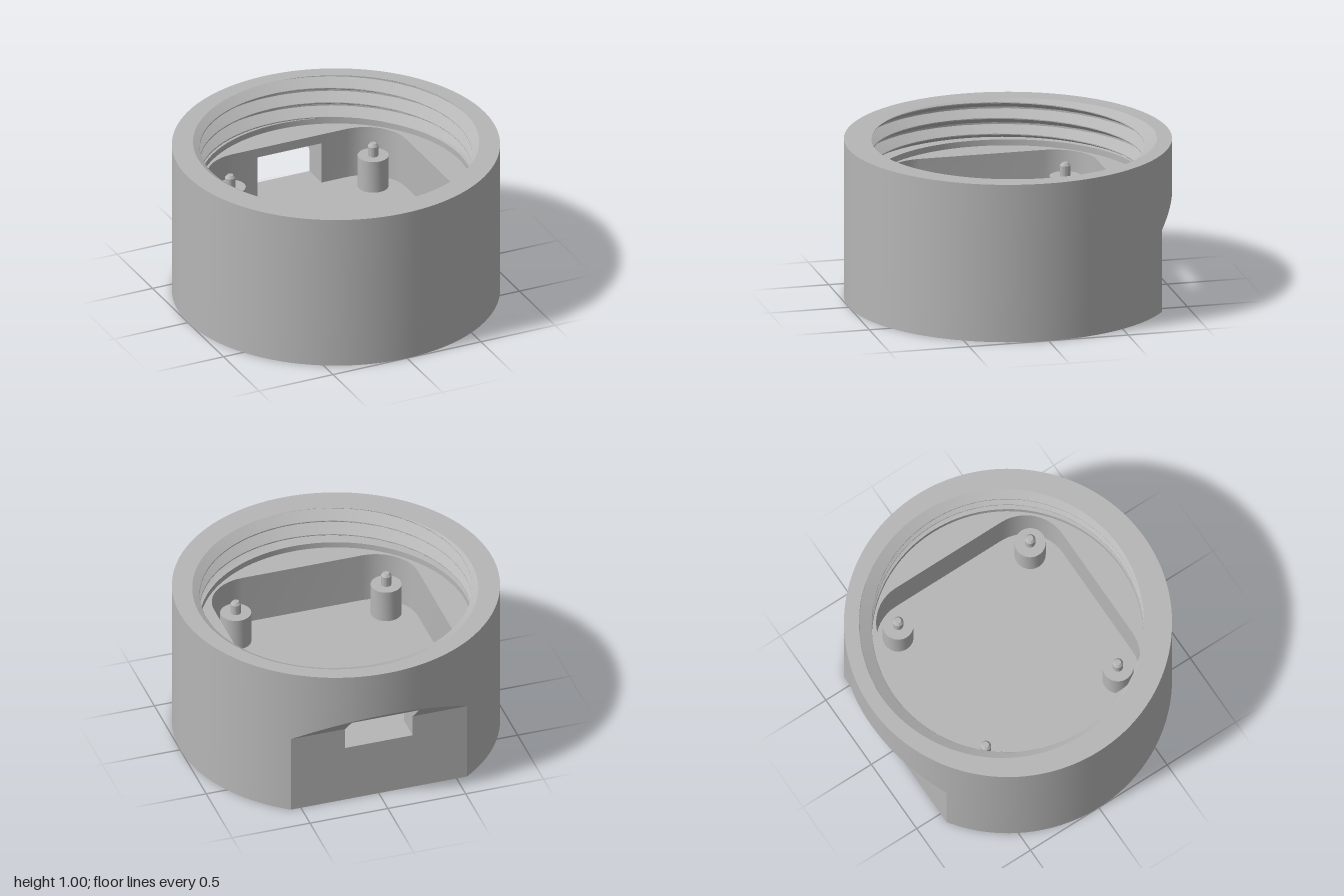
import * as THREE from 'three';
import { toCreasedNormals } from 'three/addons/utils/BufferGeometryUtils.js';

const FLAT_Z = -0.825;   // flat cut at the back
const FLAT_TOP = 0.52;   // where the flat turns into a 45 degree slope
const FLOOR = 0.38, LEDGE = 0.71, CEILING = 0.65;
const WINDOW = 0.217;    // half width of the cable window
const POCKET = 0.655, CORNER = 0.27;
const POST = 0.483;
const PITCH = 0.1, CREST = 0.83, ROOT = 0.908;

const grey = new THREE.MeshStandardMaterial({ color: 0xb6b6b6, side: THREE.DoubleSide });
grey.name = 'grey plastic';

function part(name, geometry) {
  const mesh = new THREE.Mesh(geometry, grey);
  mesh.name = name;
  return mesh;
}

// closed loft through rows of points; skip(row, a, b) leaves holes
function loft(rows, skip = () => false) {
  const pos = [];
  const n = rows[0].length;
  for (let j = 0; j < rows.length - 1; j++) {
    for (let i = 0; i < n; i++) {
      const k = (i + 1) % n;
      const a = rows[j][i], b = rows[j][k], c = rows[j + 1][k], d = rows[j + 1][i];
      if (skip(j, a, b)) continue;
      for (const tri of [[a, b, c], [a, c, d]]) {
        const [p, q, r] = tri;
        if (p.distanceTo(q) < 1e-6 || q.distanceTo(r) < 1e-6 || r.distanceTo(p) < 1e-6) continue;
        for (const v of tri) pos.push(v.x, v.y, v.z);
      }
    }
  }
  const g = new THREE.BufferGeometry();
  g.setAttribute('position', new THREE.Float32BufferAttribute(pos, 3));
  return toCreasedNormals(g, 0.45);
}

// flat face from an (x, z) outline at height y
function plate(points, y, hole) {
  const shape = new THREE.Shape(points);
  if (hole) shape.holes.push(new THREE.Path(hole));
  return new THREE.ShapeGeometry(shape).rotateX(Math.PI / 2).translate(0, y, 0);
}

function circle(r, n = 96) {
  return Array.from({ length: n }, (_, i) => {
    const a = (i / n) * Math.PI * 2;
    return new THREE.Vector2(r * Math.sin(a), r * Math.cos(a));
  });
}

// rounded square, with extra points at the window edges on the back side
function pocketOutline() {
  const pts = [], c = POCKET - CORNER;
  [[1, 1], [-1, 1], [-1, -1], [1, -1]].forEach(([sx, sz], q) => {
    for (let i = 0; i <= 12; i++) {
      const a = (q + i / 12) * Math.PI / 2;
      pts.push(new THREE.Vector2(sx * c + CORNER * Math.cos(a), sz * c + CORNER * Math.sin(a)));
    }
    if (q === 2) pts.push(new THREE.Vector2(-WINDOW, -POCKET), new THREE.Vector2(WINDOW, -POCKET));
  });
  return pts;
}

// radius of the internal screw thread
function threadRadius(angle, y) {
  if (y < 0.748) return CREST;
  const t = (angle / (Math.PI * 2) + (1 - y) / PITCH + 0.05) % 1;
  if (t < 0.425) return THREE.MathUtils.lerp(CREST, ROOT, t / 0.425);
  if (t < 0.55) return ROOT;
  if (t < 0.925) return THREE.MathUtils.lerp(ROOT, CREST, (t - 0.55) / 0.375);
  return CREST;
}

export function createModel() {
  const model = new THREE.Group();
  model.name = 'threadedHousing';

  // column angles, with exact ones at the flat's corners and the window edges
  const angles = Array.from({ length: 120 }, (_, i) => (i / 120) * Math.PI * 2);
  for (const s of [Math.acos(-FLAT_Z), Math.asin(WINDOW)]) angles.push(Math.PI - s, Math.PI + s);
  angles.sort((a, b) => a - b);

  // outer wall: cylinder with the back flat and the slope above it
  const columnPoint = (a, y) => {
    const limit = FLAT_Z - Math.max(0, y - FLAT_TOP);
    return new THREE.Vector3(Math.sin(a), y, Math.max(Math.cos(a), limit));
  };
  const slopeTop = a => FLAT_TOP + Math.max(0, FLAT_Z - Math.cos(a));
  const levels = [
    () => 0, () => FLOOR, () => FLAT_TOP,
    a => Math.min(slopeTop(a), CEILING), slopeTop, () => 1,
  ];
  const inWindow = (a, b) => a.z < 0 && Math.abs((a.x + b.x) / 2) < WINDOW;
  const outer = levels.map(f => angles.map(a => columnPoint(a, f(a))));
  model.add(part('outerWall', loft(outer, (j, a, b) => (j === 1 || j === 2) && inWindow(a, b))));

  // thread and top rim
  const threadPoint = (a, y) => {
    const r = threadRadius(a, y);
    return new THREE.Vector3(r * Math.sin(a), y, r * Math.cos(a));
  };
  const threadRows = Array.from({ length: 117 }, (_, j) =>
    angles.map(a => threadPoint(a, LEDGE + (1 - LEDGE) * j / 116)));
  model.add(part('screwThread', loft(threadRows)));
  model.add(part('topRim', loft([threadRows[116], outer[5]])));

  // square pocket with its ledge and floor
  const pocket = pocketOutline();
  const pocketRows = [FLOOR, CEILING, LEDGE].map(y => pocket.map(p => new THREE.Vector3(p.x, y, p.y)));
  model.add(part('pocketWall', loft(pocketRows, (j, a, b) => j === 0 && inWindow(a, b))));
  model.add(part('pocketLedge', plate(circle(0.92), LEDGE, pocket)));
  model.add(part('pocketFloor', plate(pocket, FLOOR)));

  // cable window through the back wall
  const slopeEnd = FLAT_Z - (CEILING - FLAT_TOP);
  const strip = zEnd => [[-WINDOW, -POCKET], [WINDOW, -POCKET], [WINDOW, zEnd], [-WINDOW, zEnd]]
    .map(p => new THREE.Vector2(...p));
  model.add(part('windowSill', plate(strip(FLAT_Z), FLOOR)));
  model.add(part('windowCeiling', plate(strip(slopeEnd), CEILING)));
  const cheek = new THREE.Shape([
    [POCKET, FLOOR], [-FLAT_Z, FLOOR], [-FLAT_Z, FLAT_TOP], [-slopeEnd, CEILING], [POCKET, CEILING],
  ].map(p => new THREE.Vector2(...p)));
  for (const x of [-WINDOW, WINDOW]) {
    model.add(part('windowSide', new THREE.ShapeGeometry(cheek).rotateY(Math.PI / 2).translate(x, 0, 0)));
  }

  // underside with a chamfered blind screw hole
  const footprint = outer[0].map(p => new THREE.Vector2(p.x, p.z));
  model.add(part('underside', plate(footprint, 0, circle(0.13, 48))));
  const lathe = (profile, n) => toCreasedNormals(
    new THREE.LatheGeometry(profile.map(p => new THREE.Vector2(...p)), n), 0.45);
  model.add(part('mountHole', lathe([[0.13, 0], [0.1, 0.03], [0.1, 0.3], [0, 0.3]], 48)));

  // four posts with locating pins
  const postShape = lathe([
    [0.095, FLOOR], [0.095, 0.59], [0.032, 0.59], [0.032, 0.655], [0.019, 0.672], [0, 0.672],
  ], 32);
  for (const x of [-POST, POST]) {
    for (const z of [-POST, POST]) {
      const post = part('post', postShape);
      post.position.set(x, 0, z);
      model.add(post);
    }
  }
  return model;
}
